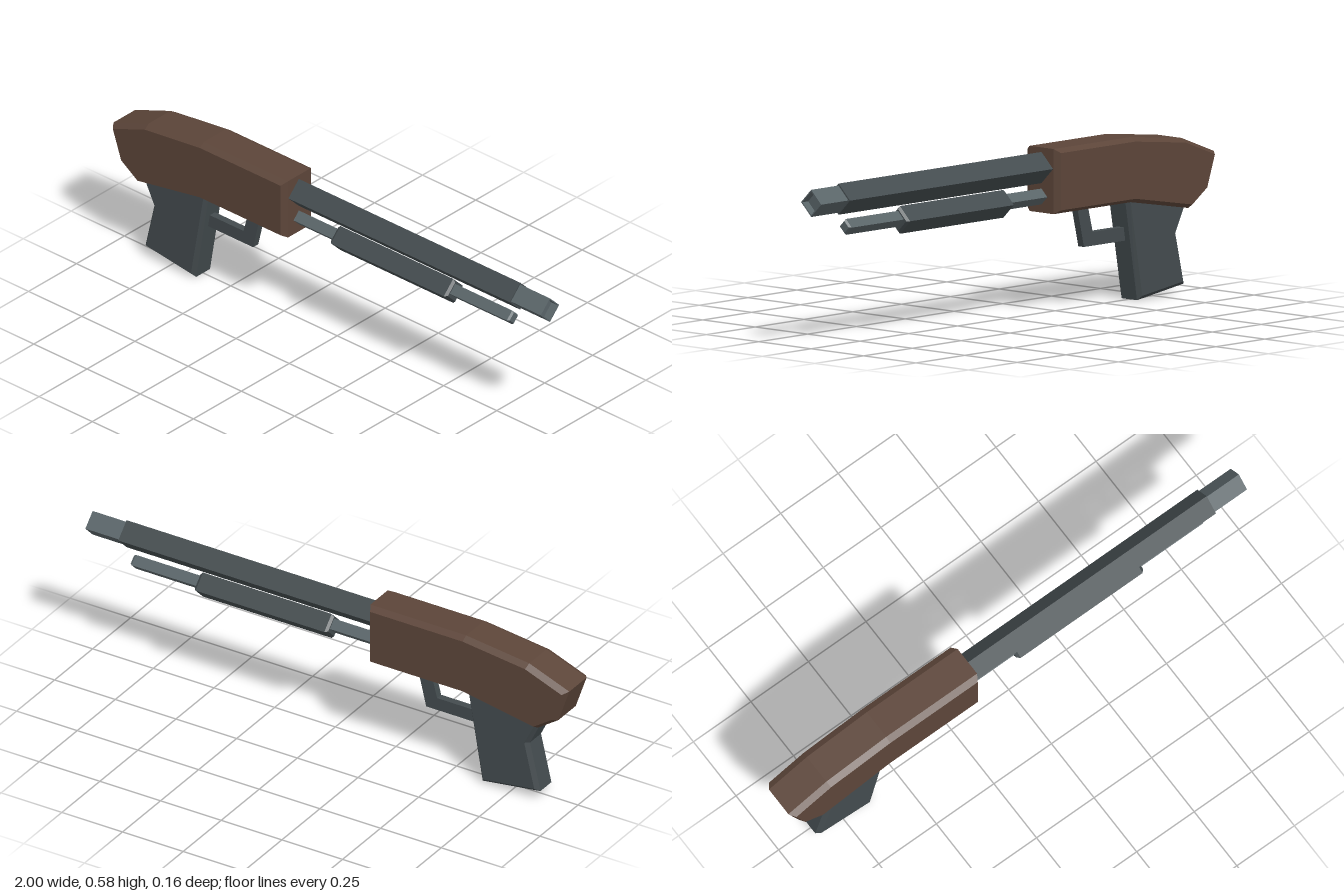
import * as THREE from 'three';

const material = (color) => new THREE.MeshStandardMaterial({ color, flatShading: true });

// Side outline extruded across z, with a single chamfer kept inside the outline
function slab(name, outline, halfWidth, chamferXY, chamferZ, mat) {
  const shape = new THREE.Shape(outline.map(([x, y]) => new THREE.Vector2(x, y)));
  const depth = 2 * (halfWidth - chamferZ);
  const geometry = new THREE.ExtrudeGeometry(shape, {
    depth,
    bevelEnabled: chamferXY > 0,
    bevelSegments: 1,
    bevelSize: chamferXY,
    bevelOffset: -chamferXY,
    bevelThickness: chamferZ,
  });
  geometry.translate(0, 0, -depth / 2);
  const mesh = new THREE.Mesh(geometry, mat);
  mesh.name = name;
  return mesh;
}

// Four-sided diamond bar along x; profile is a list of [x, radius]
function diamondBar(name, y, profile, mat) {
  const geometry = new THREE.LatheGeometry(profile.map(([x, r]) => new THREE.Vector2(r, x)), 4);
  geometry.rotateZ(-Math.PI / 2);
  const mesh = new THREE.Mesh(geometry, mat);
  mesh.name = name;
  mesh.position.y = y;
  return mesh;
}

export function createModel() {
  const group = new THREE.Group();
  group.name = 'pumpShotgun';
  const wood = material(0x5c4539);
  const darkMetal = material(0x434b4e);
  const lightMetal = material(0x596468);

  // Stock and receiver in one chamfered block
  group.add(slab('stock', [
    [-1, 0.49], [-0.955, 0.36], [-0.87, 0.302], [-0.575, 0.354],
    [-0.18, 0.354], [-0.18, 0.584], [-0.575, 0.584], [-0.835, 0.553],
  ], 0.08, 0.014, 0.023, wood));

  // Grip, its top sunk into the stock
  group.add(slab('grip', [
    [-0.88, 0.33], [-0.825, 0.217], [-0.868, 0.033], [-0.63, 0],
    [-0.563, 0.4],
  ], 0.051, 0.014, 0.015, darkMetal));

  // Trigger guard
  group.add(slab('triggerGuard', [
    [-0.62, 0.212], [-0.383, 0.212], [-0.345, 0.37],
    [-0.399, 0.37], [-0.428, 0.26], [-0.62, 0.26],
  ], 0.0135, 0, 0, darkMetal));

  // Barrel and hollow muzzle
  group.add(diamondBar('barrel', 0.513, [
    [-0.2, 0], [-0.2, 0.055], [0.86, 0.055], [0.86, 0],
  ], darkMetal));
  group.add(diamondBar('muzzle', 0.513, [
    [0.84, 0], [0.84, 0.048], [1, 0.048], [1, 0.042], [0.97, 0.042], [0.97, 0],
  ], lightMetal));

  // Magazine tube with the sliding pump around it
  group.add(diamondBar('magazineTube', 0.411, [
    [-0.2, 0], [-0.2, 0.028], [0.822, 0.028], [0.83, 0.021], [0.83, 0],
  ], lightMetal));
  group.add(diamondBar('pump', 0.406, [
    [0.005, 0], [0.005, 0.039], [0.015, 0.049], [0.545, 0.049], [0.555, 0.039], [0.555, 0],
  ], darkMetal));

  return group;
}
